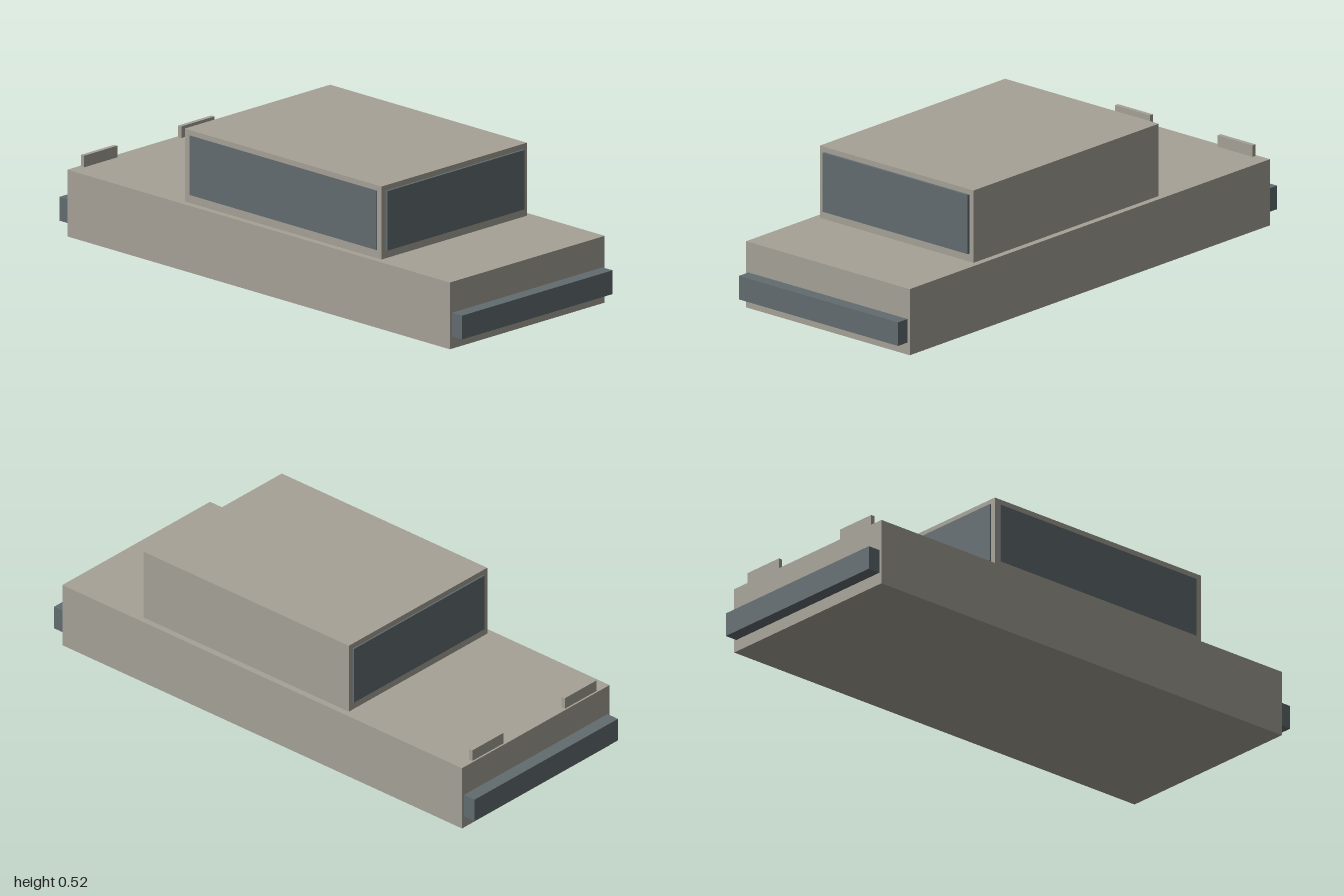
import * as THREE from 'three';

const paint = new THREE.MeshStandardMaterial({ color: 0xa6a297 });
paint.name = 'beige paint';
const dark = new THREE.MeshStandardMaterial({ color: 0x626c70 });
dark.name = 'slate glass and trim';

// Box given by its minimum and maximum corners
function block(name, material, [x0, y0, z0], [x1, y1, z1]) {
  const geometry = new THREE.BoxGeometry(x1 - x0, y1 - y0, z1 - z0);
  const mesh = new THREE.Mesh(geometry, material);
  mesh.position.set((x0 + x1) / 2, (y0 + y1) / 2, (z0 + z1) / 2);
  mesh.name = name;
  return mesh;
}

export function createModel() {
  const car = new THREE.Group();
  car.name = 'car';

  // Lower body and cabin
  car.add(block('body', paint, [-0.389, 0, -0.95], [0.389, 0.247, 0.95]));
  car.add(block('cabin', paint, [-0.365, 0.247, -0.39], [0.365, 0.517, 0.587]));

  // Windscreen, rear window and the flush side window
  car.add(block('windscreen', dark, [-0.345, 0.277, 0.587], [0.345, 0.497, 0.596]));
  car.add(block('rearWindow', dark, [-0.345, 0.277, -0.396], [0.345, 0.497, -0.39]));
  car.add(block('sideWindow', dark, [-0.3665, 0.277, -0.365], [-0.365, 0.497, 0.565]));

  // Bumpers
  car.add(block('frontBumper', dark, [-0.378, 0.045, 0.95], [0.378, 0.133, 1]));
  car.add(block('rearBumper', dark, [-0.378, 0.045, -1], [0.378, 0.133, -0.95]));

  // Small upright fins on the rear deck
  for (const side of [-1, 1]) {
    const x = side * 0.244;
    car.add(block(side > 0 ? 'leftFin' : 'rightFin', paint,
      [x - 0.083, 0.247, -0.943], [x + 0.083, 0.29, -0.927]));
  }
  return car;
}
